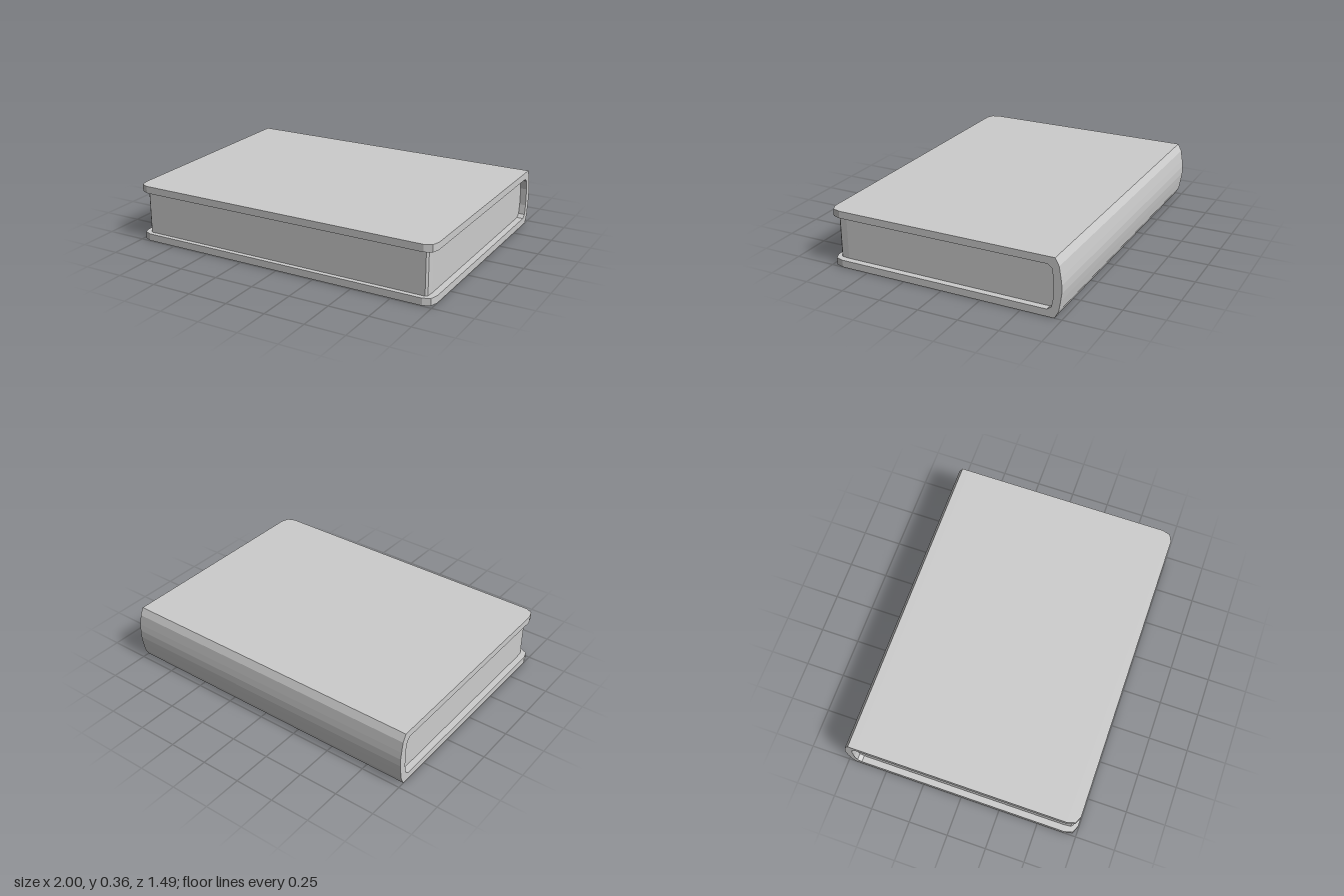
import * as THREE from 'three';

const HEIGHT = 0.36, BOARD = 0.045, HINGE = -0.66;

// Adds the top-to-bottom mirror image of a half profile of [z, y] points
const mirrored = half => [...half, ...half.map(([z, y]) => [z, HEIGHT - y]).reverse()];
const toShape = points => new THREE.Shape(points.map(([a, b]) => new THREE.Vector2(a, b)));

// Plan outline (x, z) with softened corners on the opening side
function planOutline(halfWidth, front, corner) {
  const right = [[halfWidth, HINGE], ...corner.map(([dx, dz]) => [halfWidth - dx, front - dz])];
  return toShape([...right, ...right.map(([x, z]) => [-x, z]).reverse()]);
}

// Extrudes a plan outline vertically between two heights
function slab(shape, bottom, top) {
  const g = new THREE.ExtrudeGeometry(shape, { depth: top - bottom, bevelEnabled: false });
  return g.rotateX(Math.PI / 2).translate(0, top, 0);
}

// Extrudes a (z, y) profile along x, centred
function alongX(shape, width) {
  const g = new THREE.ExtrudeGeometry(shape, { depth: width, bevelEnabled: false });
  return g.translate(0, 0, -width / 2).rotateY(-Math.PI / 2);
}

export function createModel() {
  const book = new THREE.Group();
  book.name = 'book';
  const grey = new THREE.MeshStandardMaterial({ color: 0xcccccc, flatShading: true });
  grey.name = 'light grey';

  const add = (name, geometry) => {
    const mesh = new THREE.Mesh(geometry, grey);
    mesh.name = name;
    book.add(mesh);
  };

  // Cover boards
  const board = planOutline(1, 0.745, [[0, 0.07], [0.015, 0.02], [0.06, 0]]);
  add('bottomCover', slab(board, 0, BOARD));
  add('topCover', slab(board, HEIGHT - BOARD, HEIGHT));

  // Rounded spine wrapping from one board to the other
  const outer = mirrored([[HINGE, 0.36], [-0.705, 0.36], [-0.729, 0.315], [-0.74, 0.25], [-0.746, 0.205]]);
  const inner = mirrored([[HINGE, 0.315], [-0.686, 0.295], [-0.697, 0.235]]);
  add('spine', alongX(toShape([...outer, ...inner.slice().reverse()]), 2));

  // Page block with chamfered fore-edge corners, and its rounded back
  const pages = planOutline(0.96, 0.715, [[0, 0.06], [0.004, 0.012], [0.016, 0]]);
  add('pages', slab(pages, BOARD, HEIGHT - BOARD));
  add('pagesBack', alongX(toShape(inner), 1.92));

  return book;
}
